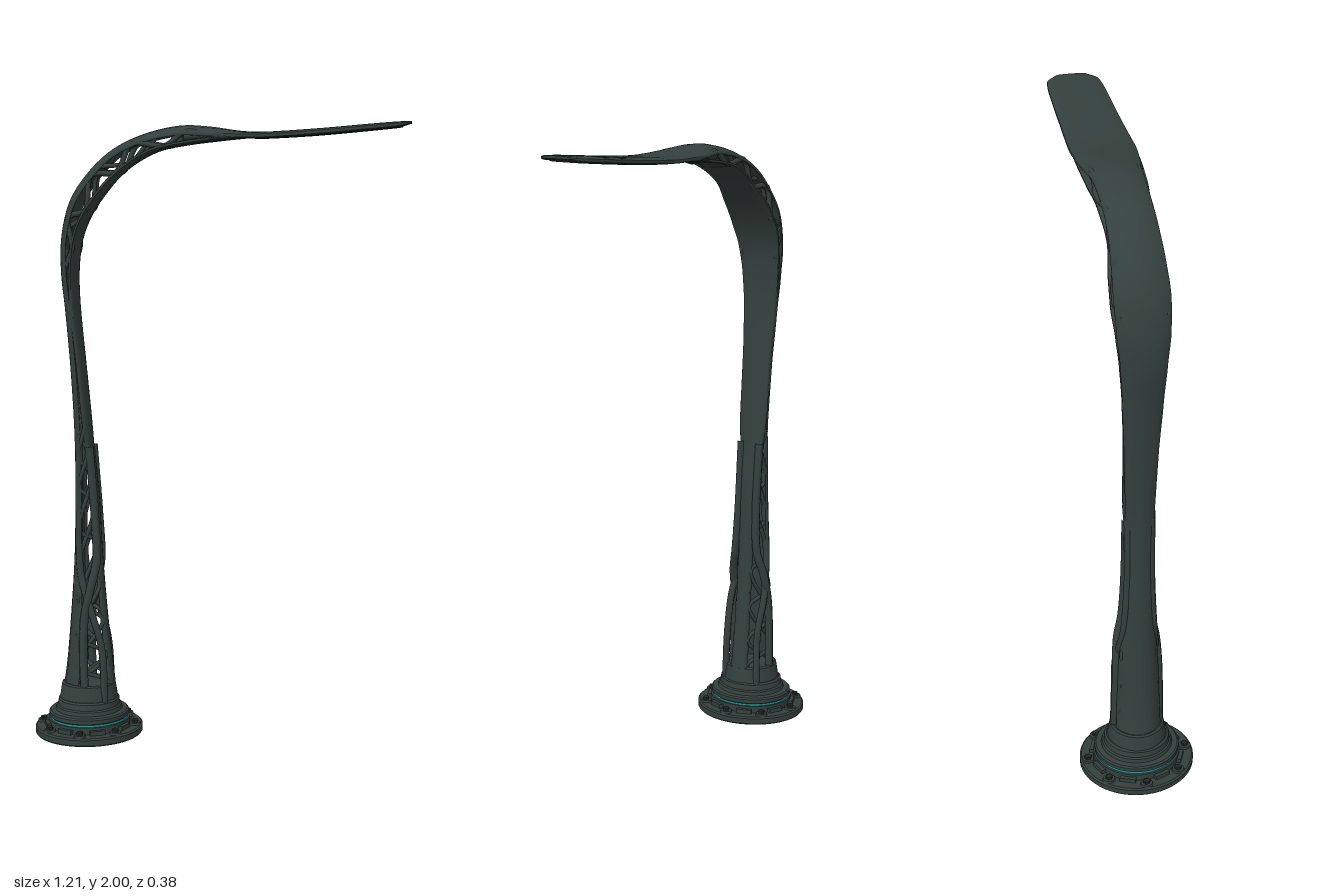
import * as THREE from 'three';
import { toCreasedNormals } from 'three/addons/utils/BufferGeometryUtils.js';

const V = (x, y, z = 0) => new THREE.Vector3(x, y, z);
const BASE_X = -0.433;

// Curved band swept in the x-y plane. Stations: [x, y, half width, thickness, bow of the edges].
// side +1 thickens to the right of travel, -1 to the left.
function makeBand(stations, side) {
  const path = new THREE.CatmullRomCurve3(stations.map(s => V(s[0], s[1])), false, 'centripetal');
  const size = new THREE.CatmullRomCurve3(stations.map(s => V(s[2], s[3], s[4])), false, 'catmullrom', 0.3);
  const frame = u => {
    const p = path.getPoint(u), t = path.getTangent(u), k = size.getPoint(u);
    return { p, n: V(t.y * side, -t.x * side), w: k.x, t: k.y, bow: k.z };
  };
  // Point in the middle of the thickness, s = -1..1 across the width
  const at = (u, s) => {
    const f = frame(u);
    const q = f.p.clone().addScaledVector(f.n, f.t / 2 + f.bow * s * s);
    q.z = s * f.w;
    return q;
  };
  const rows = (stations.length - 1) * 5, N = 28, pos = [], idx = [];
  const soft = v => Math.sign(v) * Math.sqrt(Math.abs(v));
  for (let i = 0; i <= rows; i++) {
    const f = frame(i / rows);
    for (let j = 0; j < N; j++) {
      const a = j / N * Math.PI * 2, c = soft(Math.cos(a));
      const q = f.p.clone().addScaledVector(f.n, f.t / 2 * (1 + soft(Math.sin(a))) + f.bow * c * c);
      pos.push(q.x, q.y, c * f.w);
    }
  }
  const tri = (a, b, c) => side > 0 ? idx.push(a, b, c) : idx.push(a, c, b);
  for (let i = 0; i < rows; i++) for (let j = 0; j < N; j++) {
    const a = i * N + j, b = i * N + (j + 1) % N;
    tri(a, b, a + N);
    tri(b, b + N, a + N);
  }
  const c0 = pos.length / 3;
  for (const u of [0, 1]) { const q = at(u, 0); pos.push(q.x, q.y, 0); }
  for (let j = 0; j < N; j++) {
    const k = (j + 1) % N, e = rows * N;
    tri(c0, k, j);
    tri(c0 + 1, e + j, e + k);
  }
  const g = new THREE.BufferGeometry();
  g.setAttribute('position', new THREE.Float32BufferAttribute(pos, 3));
  g.setIndex(idx);
  return { geometry: toCreasedNormals(g, 0.7), at };
}

export function createModel() {
  const root = new THREE.Group();
  root.name = 'streetLamp';
  const mat = (name, color) => Object.assign(new THREE.MeshStandardMaterial({ color }), { name });
  const body = mat('darkGreenGrey', 0x34403d);
  const dark = mat('nearBlack', 0x202827);
  const glow = mat('tealGlow', 0x1aa6a0);
  const add = (parent, name, geo, m = body) => {
    const mesh = new THREE.Mesh(geo, m);
    mesh.name = name;
    parent.add(mesh);
    return mesh;
  };

  // Round foot, slightly wider across z
  const foot = new THREE.Group();
  foot.name = 'foot';
  foot.position.x = BASE_X;
  foot.scale.z = 1.06;
  root.add(foot);
  const lathe = pts => toCreasedNormals(
    new THREE.LatheGeometry(pts.map(p => new THREE.Vector2(p[0], p[1])), 56), 0.5);
  add(foot, 'flange', lathe([[0, 0], [0.174, 0], [0.177, 0.004], [0.177, 0.022], [0.172, 0.027],
    [0.134, 0.027], [0.134, 0.05], [0, 0.05]]));
  add(foot, 'collar', lathe([[0, 0.056], [0.125, 0.056], [0.131, 0.06], [0.131, 0.073], [0.126, 0.078],
    [0.11, 0.08], [0.107, 0.092], [0.102, 0.096], [0.1, 0.115], [0.094, 0.12], [0, 0.12]]));
  add(foot, 'glowRing', new THREE.CylinderGeometry(0.127, 0.127, 0.007, 56, 1, true).translate(0, 0.053, 0), glow);
  for (let i = 0; i < 8; i++) {
    const a = i * Math.PI / 4, x = Math.cos(a) * 0.154, z = Math.sin(a) * 0.154;
    add(foot, 'boltWasher', new THREE.CylinderGeometry(0.018, 0.02, 0.008, 20).translate(x, 0.03, z));
    add(foot, 'bolt', toCreasedNormals(new THREE.CylinderGeometry(0.011, 0.011, 0.012, 6), 0.4).translate(x, 0.037, z), dark);
    const b = a + Math.PI / 8;
    const lug = new THREE.BoxGeometry(0.018, 0.018, 0.05).rotateY(-b);
    add(foot, 'collarLug', lug.translate(Math.cos(b) * 0.136, 0.032, Math.sin(b) * 0.136));
  }

  // Outer shell: back of the column, arch and lamp head in one sweep
  const outer = makeBand([
    [-0.527, 0.1, 0.078, 0.02, 0.05], [-0.507, 0.22, 0.072, 0.02, 0.045], [-0.49, 0.4, 0.066, 0.02, 0.035],
    [-0.476, 0.6, 0.05, 0.018, 0.02], [-0.47, 0.85, 0.046, 0.018, 0.015], [-0.471, 1.0, 0.046, 0.018, 0.013],
    [-0.48, 1.2, 0.052, 0.018, 0.012], [-0.495, 1.4, 0.062, 0.018, 0.012], [-0.507, 1.53, 0.07, 0.018, 0.014],
    [-0.503, 1.64, 0.08, 0.017, 0.016], [-0.475, 1.75, 0.084, 0.017, 0.018], [-0.42, 1.835, 0.08, 0.017, 0.018],
    [-0.34, 1.91, 0.075, 0.017, 0.016], [-0.24, 1.958, 0.074, 0.017, 0.016], [-0.12, 1.985, 0.078, 0.018, 0.018],
    [-0.03, 1.982, 0.09, 0.02, 0.016], [0.1, 1.966, 0.101, 0.02, 0.003], [0.3, 1.975, 0.096, 0.02, 0.002],
    [0.5, 1.992, 0.091, 0.019, 0.002], [0.57, 1.997, 0.083, 0.016, 0.002], [0.604, 1.998, 0.05, 0.008, 0.001]], 1);
  add(root, 'outerShell', outer.geometry);

  // Inner shell: narrow spine low down, broadening under the arch
  const inner = makeBand([
    [-0.338, 0.1, 0.036, 0.02, 0.006], [-0.35, 0.22, 0.03, 0.02, 0.005], [-0.368, 0.4, 0.027, 0.018, 0.005],
    [-0.383, 0.6, 0.027, 0.018, 0.005], [-0.393, 0.8, 0.028, 0.018, 0.005], [-0.407, 0.93, 0.042, 0.018, 0.006],
    [-0.417, 1.05, 0.052, 0.018, 0.008], [-0.436, 1.25, 0.055, 0.016, 0.008], [-0.452, 1.42, 0.063, 0.016, 0.008],
    [-0.455, 1.53, 0.071, 0.014, 0.007], [-0.445, 1.62, 0.08, 0.014, 0.006], [-0.42, 1.69, 0.088, 0.014, 0.005],
    [-0.37, 1.765, 0.085, 0.014, 0.005], [-0.3, 1.84, 0.073, 0.014, 0.005], [-0.2, 1.9, 0.081, 0.014, 0.004],
    [-0.1, 1.922, 0.092, 0.014, 0.004], [0.02, 1.937, 0.098, 0.014, 0.004], [0.13, 1.948, 0.095, 0.012, 0.001]], -1);
  add(root, 'innerShell', inner.geometry);

  // Solid fill between the shells at mid height and in the head root
  add(root, 'columnCore', makeBand([
    [-0.46, 0.9, 0.036, 0.04, 0], [-0.463, 1.05, 0.044, 0.036, 0], [-0.472, 1.25, 0.048, 0.028, 0],
    [-0.487, 1.42, 0.056, 0.026, 0], [-0.494, 1.52, 0.058, 0.022, 0]], 1).geometry);
  add(root, 'headCore', makeBand([
    [-0.1, 1.97, 0.074, 0.034, 0], [0, 1.968, 0.088, 0.025, 0], [0.1, 1.96, 0.09, 0.01, 0]], 1).geometry);

  // Lamp panel under the head
  add(root, 'lampPanel', makeBand([
    [0.12, 1.949, 0.06, 0.006, 0], [0.15, 1.9495, 0.077, 0.006, 0], [0.3, 1.958, 0.08, 0.006, 0],
    [0.5, 1.976, 0.075, 0.006, 0], [0.55, 1.981, 0.068, 0.006, 0], [0.575, 1.983, 0.045, 0.005, 0]], 1).geometry, dark);

  // Socket where the column leaves the foot
  const socket = add(root, 'socket', lathe([[0.1, 0.09], [0.094, 0.13], [0.088, 0.168], [0.082, 0.172], [0, 0.165]]));
  socket.position.x = BASE_X;

  // Open lattice between the shells, mirrored on both sides
  const tube = (pts, r) => new THREE.TubeGeometry(
    new THREE.CatmullRomCurve3(pts, false, 'centripetal'), pts.length * 7, r, 8, false);
  const weave = (n, phase, o, i, s) => Array.from({ length: n + 1 }, (_, k) => {
    const band = (k + phase) % 2 ? inner : outer, [a, b] = (k + phase) % 2 ? i : o;
    return band.at(a + (b - a) * k / n, s);
  });
  for (const s of [1, -1]) {
    const lattice = new THREE.Group();
    lattice.name = s > 0 ? 'frontLattice' : 'backLattice';
    root.add(lattice);
    for (const phase of [0, 1])
      add(lattice, 'columnStrut', tube(weave(9, phase, [0, 5 / 20], [0, 5.8 / 17], s * 0.88), 0.007));
    add(lattice, 'archStrut', tube(weave(9, 0, [8 / 20, 15 / 20], [9 / 17, 16 / 17], s * 0.85), 0.009));
    add(lattice, 'archBrace', tube(weave(6, 1, [8 / 20, 14.5 / 20], [9 / 17, 15.5 / 17], s * 0.6), 0.007));
    // Heavy ribs that rise from the foot and cross at the waist
    add(lattice, 'crossingRib', tube([V(-0.43, 0.1, s * 0.076), V(-0.436, 0.25, s * 0.072), V(-0.432, 0.4, s * 0.068),
      V(-0.412, 0.5, s * 0.062), V(-0.396, 0.58, s * 0.044), V(-0.4, 0.72, s * 0.036), V(-0.417, 0.96, s * 0.036)], 0.014));
    add(lattice, 'returnRib', tube([V(-0.368, 0.1, s * 0.064), V(-0.378, 0.3, s * 0.062), V(-0.41, 0.42, s * 0.066),
      V(-0.446, 0.54, s * 0.05), V(-0.452, 0.75, s * 0.038), V(-0.45, 0.98, s * 0.036)], 0.012));
  }
  return root;
}
